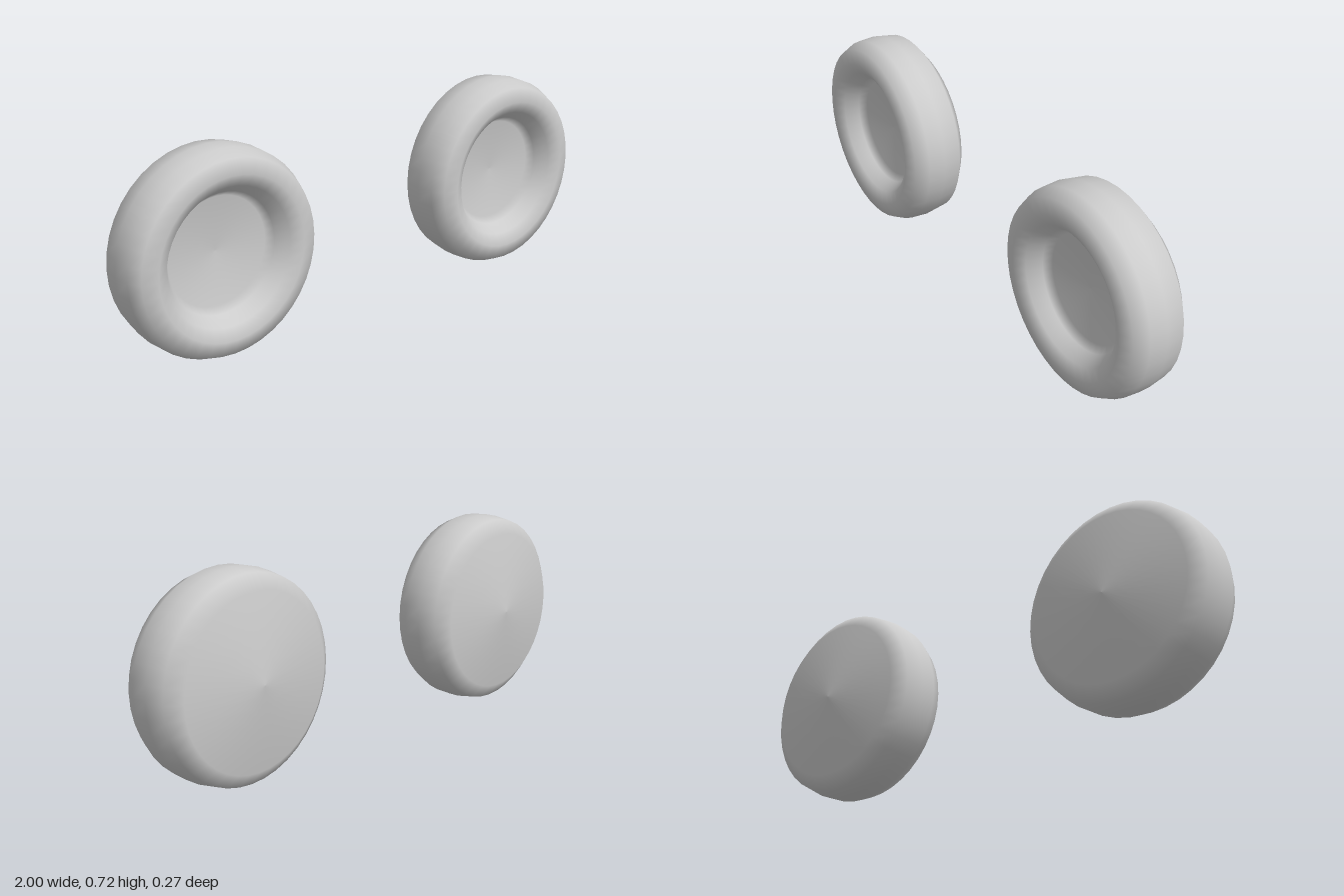
import * as THREE from 'three';

// Wheel cross-section as [radius, z], from the back hub round the tread to the front dish
const PROFILE = [
  [0, -0.135], [0.3, -0.101], [0.35, -0.062], [0.361, 0.008], [0.357, 0.073],
  [0.335, 0.121], [0.282, 0.135], [0.24, 0.112], [0.21, 0.065], [0.19, 0.038], [0, 0.025],
];

export function createModel() {
  const model = new THREE.Group();
  model.name = 'wheelPair';
  const material = new THREE.MeshStandardMaterial({ color: 0xcccccc });

  // Turned about its axle, with the dished face towards the front
  const geometry = new THREE.LatheGeometry(PROFILE.map(([r, z]) => new THREE.Vector2(r, z)), 40);
  geometry.rotateX(Math.PI / 2);

  for (const [name, x] of [['leftWheel', 0.639], ['rightWheel', -0.639]]) {
    const wheel = new THREE.Mesh(geometry, material);
    wheel.name = name;
    wheel.position.set(x, 0.361, 0);
    model.add(wheel);
  }
  return model;
}
